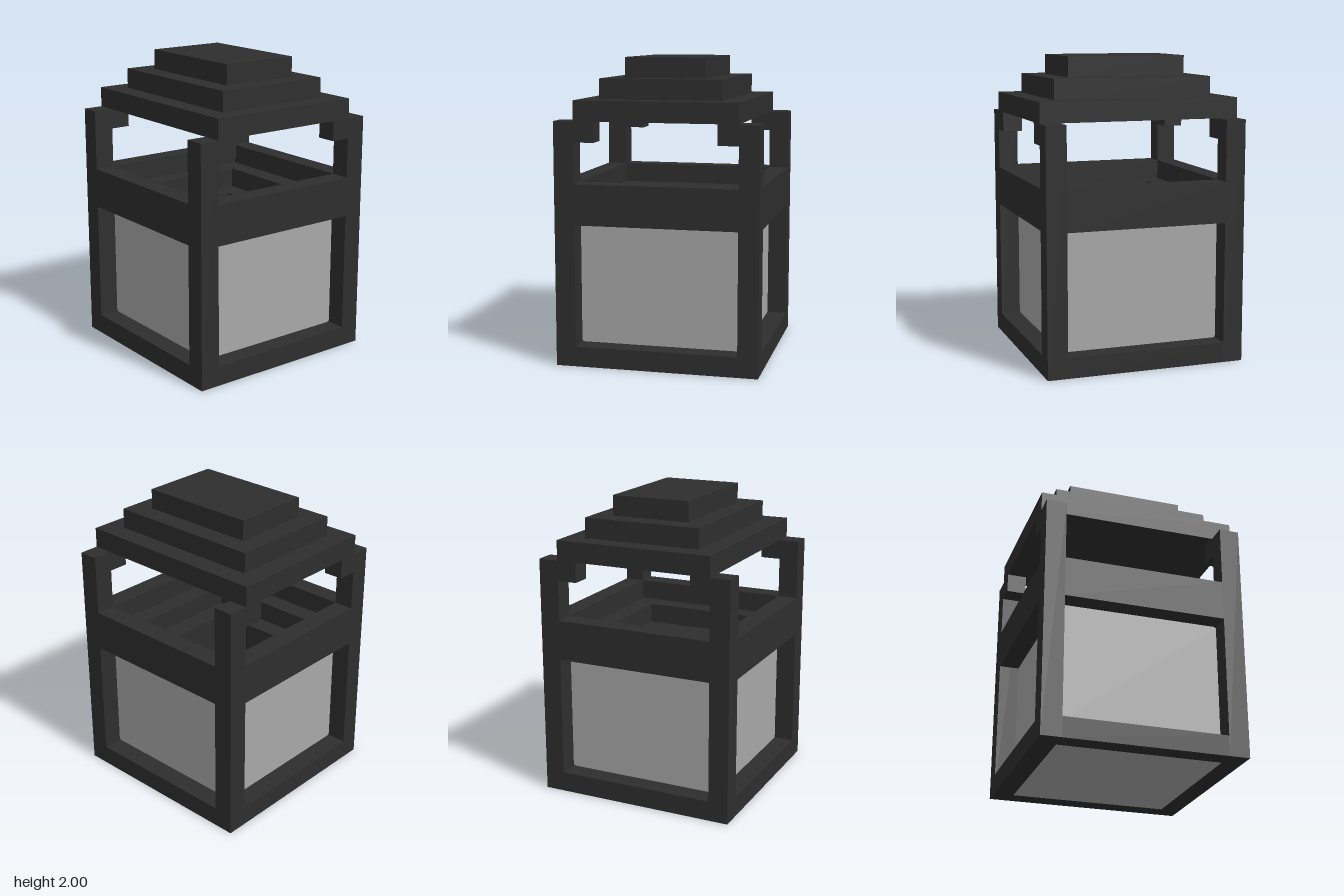
import * as THREE from 'three';

const U = 2 / 15; // one block unit
const T = 0.006;  // glass plate thickness

export function createModel() {
  const model = new THREE.Group();
  model.name = 'lantern';
  const dark = new THREE.MeshStandardMaterial({ color: 0x2e2e2e });
  dark.name = 'dark iron';
  const pale = new THREE.MeshStandardMaterial({ color: 0xa8a8a8 });
  pale.name = 'pale glass';

  // box from centre x, z, bottom and top heights, and sizes, in block units
  function box(name, x, z, y0, y1, w, d) {
    const m = new THREE.Mesh(new THREE.BoxGeometry(w * U, (y1 - y0) * U, d * U), dark);
    m.position.set(x * U, (y0 + y1) / 2 * U, z * U);
    m.name = name;
    model.add(m);
  }

  // square ring between two heights
  function ring(name, outer, inner, y0, y1) {
    const mid = (outer + inner) / 2, w = outer - inner;
    for (const s of [-1, 1]) {
      box(name, 0, s * mid, y0, y1, outer * 2, w);
      box(name, s * mid, 0, y0, y1, w, inner * 2);
    }
  }

  // corner posts with the small brackets under the roof
  for (const sx of [-1, 1]) for (const sz of [-1, 1]) {
    box('cornerPost', sx * 4.5, sz * 4.5, 0, 12, 1, 1);
    box('roofBracket', sx * 4.5, sz * 3.5, 11, 12, 1, 1);
  }

  // base and upper beams between the posts
  for (const [name, y0, y1] of [['baseBeam', 0, 1], ['upperBeam', 7, 9]]) {
    for (const s of [-1, 1]) {
      box(name, 0, s * 4.5, y0, y1, 8, 1);
      box(name, s * 4.5, 0, y0, y1, 1, 8);
    }
  }

  // stepped well inside the upper beams, and the hollow core behind the glass
  const t = T / U;
  ring('innerLedge', 4, 3, 7, 8);
  ring('coreWall', 4 - t, 2, 1, 7);
  box('coreFloor', 0, 0, t, 1, 8, 8);

  // stepped roof
  box('roofLower', 0, 0, 12, 13, 10, 8);
  box('roofMiddle', 0, 0, 13, 14, 8, 6);
  box('roofTop', 0, 0, 14, 15, 6, 4);

  // glass plate with clipped round corners, its face towards +z
  function plate(w, h) {
    const x = w * U / 2, y = h * U / 2, r = 0.02;
    const s = new THREE.Shape();
    s.moveTo(-x + r, -y);
    s.lineTo(x - r, -y).quadraticCurveTo(x, -y, x, -y + r);
    s.lineTo(x, y - r).quadraticCurveTo(x, y, x - r, y);
    s.lineTo(-x + r, y).quadraticCurveTo(-x, y, -x, y - r);
    s.lineTo(-x, -y + r).quadraticCurveTo(-x, -y, -x + r, -y);
    return new THREE.ExtrudeGeometry(s, { depth: T, bevelEnabled: false, curveSegments: 3 });
  }

  // four windows
  for (let i = 0; i < 4; i++) {
    const g = plate(8, 6);
    g.translate(0, 4 * U, 4 * U - T);
    const m = new THREE.Mesh(g, pale);
    m.rotation.y = i * Math.PI / 2;
    m.name = 'windowGlass';
    model.add(m);
  }

  // glass underneath, flush with the base
  const under = plate(8, 8);
  under.translate(0, 0, -T);
  const bottom = new THREE.Mesh(under, pale);
  bottom.rotation.x = Math.PI / 2;
  bottom.name = 'bottomGlass';
  model.add(bottom);

  return model;
}
